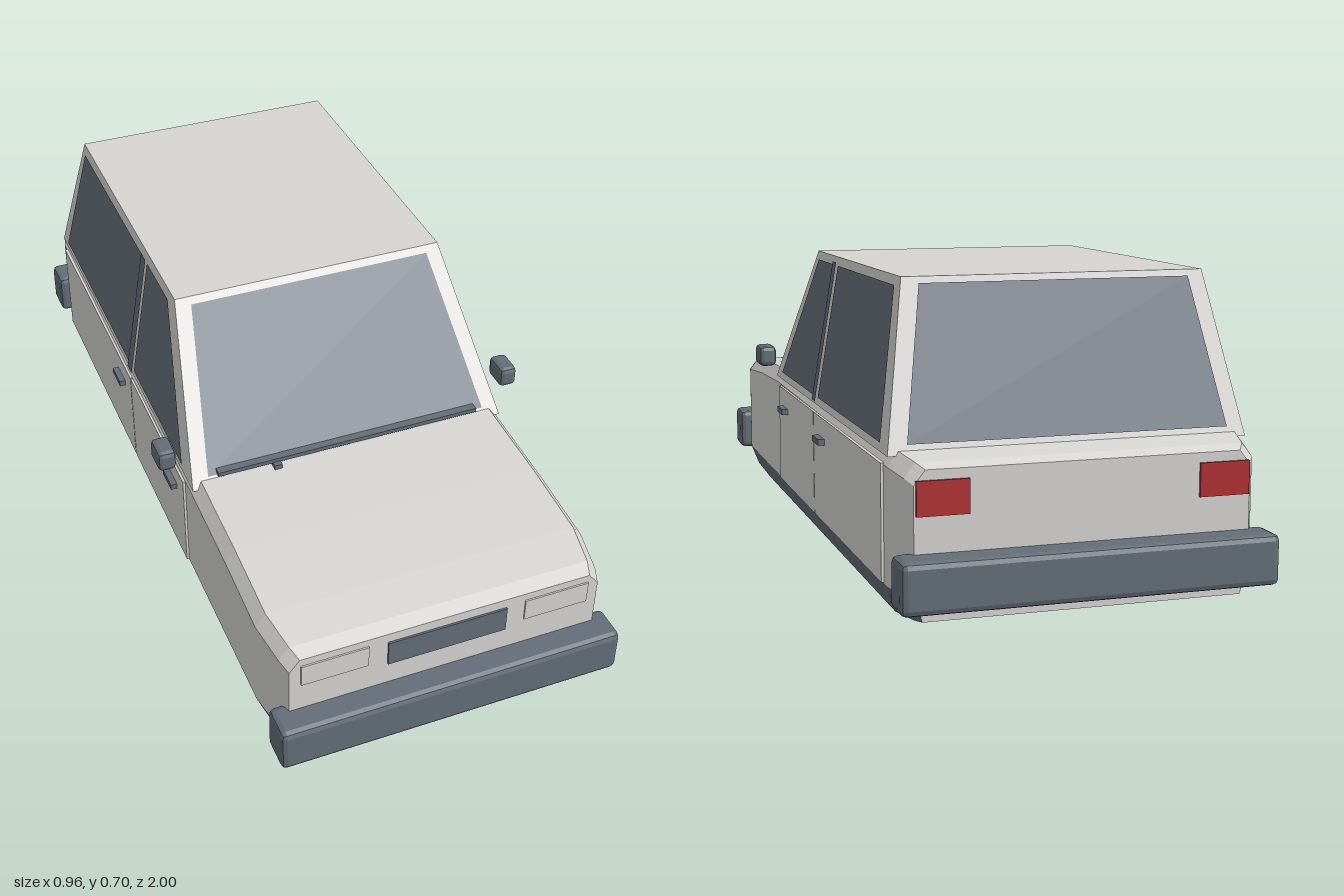
import * as THREE from 'three';
import { RoundedBoxGeometry } from 'three/addons/geometries/RoundedBoxGeometry.js';

const paint = new THREE.MeshStandardMaterial({ color: 0xd6d5d2 });
paint.name = 'bodyPaint';
const trim = new THREE.MeshStandardMaterial({ color: 0x646e78 });
trim.name = 'darkTrim';
const glass = new THREE.MeshStandardMaterial({ color: 0x67707c });
glass.name = 'glass';
const red = new THREE.MeshStandardMaterial({ color: 0xb03034 });
red.name = 'tailRed';

// Flat-faced mesh from convex polygons, corners anticlockwise from outside
function faces(name, polys, material) {
  const pos = [];
  for (const p of polys)
    for (let i = 1; i < p.length - 1; i++) pos.push(...p[0], ...p[i], ...p[i + 1]);
  const g = new THREE.BufferGeometry();
  g.setAttribute('position', new THREE.Float32BufferAttribute(pos, 3));
  g.computeVertexNormals();
  const m = new THREE.Mesh(g, material);
  m.name = name;
  return m;
}

// Box given by its min and max on each axis, with an optional chamfer
function box(name, [x0, x1], [y0, y1], [z0, z1], material, chamfer = 0) {
  const s = [x1 - x0, y1 - y0, z1 - z0];
  const g = chamfer ? new RoundedBoxGeometry(...s, 1, chamfer) : new THREE.BoxGeometry(...s);
  if (chamfer) g.computeVertexNormals();
  const m = new THREE.Mesh(g, material);
  m.name = name;
  m.position.set((x0 + x1) / 2, (y0 + y1) / 2, (z0 + z1) / 2);
  return m;
}

const lerp = THREE.MathUtils.lerp;
const flip = (poly) => poly.map(([x, y, z]) => [-x, y, z]).reverse();

// Cabin planes: half width, front z and rear z at height y
const BASE = 0.345, ROOF = 0.7;
const rise = (y) => (y - BASE) / (ROOF - BASE);
const cabX = (y) => lerp(0.41, 0.35, rise(y));
const cabFront = (y) => lerp(0.36, 0.085, rise(y));
const cabRear = (y) => lerp(-0.84, -0.73, rise(y));

export function createModel() {
  const car = new THREE.Group();

  // Lower body: sections [z, half width, half width at floor, height]
  const rings = [
    [0.935, 0.383, 0.362, 0.3], [0.9, 0.395, 0.375, 0.311], [0.8, 0.412, 0.39, 0.324],
    [0.6, 0.412, 0.395, 0.341], [0.35, 0.412, 0.395, 0.351], [-0.84, 0.412, 0.395, 0.345],
    [-0.91, 0.395, 0.375, 0.334], [-0.932, 0.38, 0.362, 0.322],
  ].map(([z, w, f, h]) => {
    const half = [[f, 0, z], [w, 0.055, z], [w, h - 0.032, z], [w - 0.025, h, z]];
    return [...half, ...flip(half)];
  });
  const shell = [rings[0], [...rings[rings.length - 1]].reverse()];
  const sills = [];
  for (let i = 0; i < rings.length - 1; i++)
    for (let j = 0; j < 8; j++) {
      const k = (j + 1) % 8;
      const quad = [rings[i][j], rings[i + 1][j], rings[i + 1][k], rings[i][k]];
      (j === 0 || j === 6 ? sills : shell).push(quad);
    }
  car.add(faces('lowerBody', shell, paint), faces('sills', sills, trim));

  // Cabin shell: roof, pillars and window surrounds
  const low = 0.335;
  const corner = (y, s, z) => [s * cabX(y), y, z(y)];
  const cabSide = [corner(low, 1, cabFront), corner(low, 1, cabRear), corner(ROOF, 1, cabRear), corner(ROOF, 1, cabFront)];
  const [a, b, c, d] = cabSide;
  const [d2, c2, b2, a2] = flip(cabSide);
  car.add(faces('cabin', [cabSide, flip(cabSide), [a2, a, d, d2], [b, b2, c2, c], [d, c, c2, d2]], paint));

  // Windscreen and rear window
  const yl = 0.358, yh = 0.686, e = 0.004;
  const endPane = (z, off) => [[-0.368, yl], [0.368, yl], [0.313, yh], [-0.313, yh]].map(([x, y]) => [x, y, z(y) + off]);
  car.add(faces('windscreen', [endPane(cabFront, e)], glass));
  car.add(faces('rearWindow', [endPane(cabRear, -e).reverse()], glass));

  // Side windows and the dark centre pillar
  const sidePane = (zy, off) => zy.map(([z, y]) => [cabX(y) + off, y, z]);
  const sideParts = [
    ['frontSideWindow', [[0.285, 0.355], [-0.12, 0.355], [-0.12, 0.68], [0.05, 0.68]], glass, e],
    ['rearSideWindow', [[-0.168, 0.355], [-0.785, 0.355], [-0.703, 0.68], [-0.168, 0.68]], glass, e],
    ['centrePillar', [[-0.124, 0.345], [-0.16, 0.345], [-0.16, 0.688], [-0.124, 0.688]], trim, e + 0.004],
  ];
  for (const [name, zy, mat, off] of sideParts) {
    const pane = sidePane(zy, off);
    car.add(faces(name + 'Left', [pane], mat), faces(name + 'Right', [flip(pane)], mat));
  }

  // Parts repeated on both sides
  for (const s of [1, -1]) {
    const tag = s > 0 ? 'Left' : 'Right';
    const span = (p, q) => (s > 0 ? [p, q] : [-q, -p]);
    car.add(
      box('frontDoor' + tag, span(0.4, 0.418), [0.057, 0.316], [-0.138, 0.305], paint),
      box('rearDoor' + tag, span(0.4, 0.418), [0.057, 0.316], [-0.81, -0.142], paint),
      box('frontHandle' + tag, span(0.41, 0.434), [0.253, 0.268], [0.187, 0.252], trim),
      box('rearHandle' + tag, span(0.41, 0.434), [0.253, 0.268], [-0.264, -0.198], trim),
      box('mirror' + tag, span(0.434, 0.48), [0.378, 0.432], [0.25, 0.322], trim, 0.012),
      box('headlight' + tag, span(0.194, 0.356), [0.222, 0.28], [0.933, 0.939], paint),
      box('tailLight' + tag, span(0.26, 0.376), [0.225, 0.3], [-0.938, -0.93], red),
    );
  }

  // Grille, bumpers and wiper bar
  car.add(
    box('grille', [-0.147, 0.147], [0.208, 0.275], [0.932, 0.94], trim),
    box('frontBumper', [-0.425, 0.425], [0.031, 0.145], [0.907, 1], trim, 0.014),
    box('rearBumper', [-0.425, 0.425], [0.031, 0.145], [-1, -0.907], trim, 0.014),
    box('wiper', [-0.345, 0.345], [0.36, 0.371], [0.345, 0.366], trim),
    box('wiperPivot', [-0.205, -0.185], [0.348, 0.362], [0.355, 0.38], trim),
  );
  return car;
}
